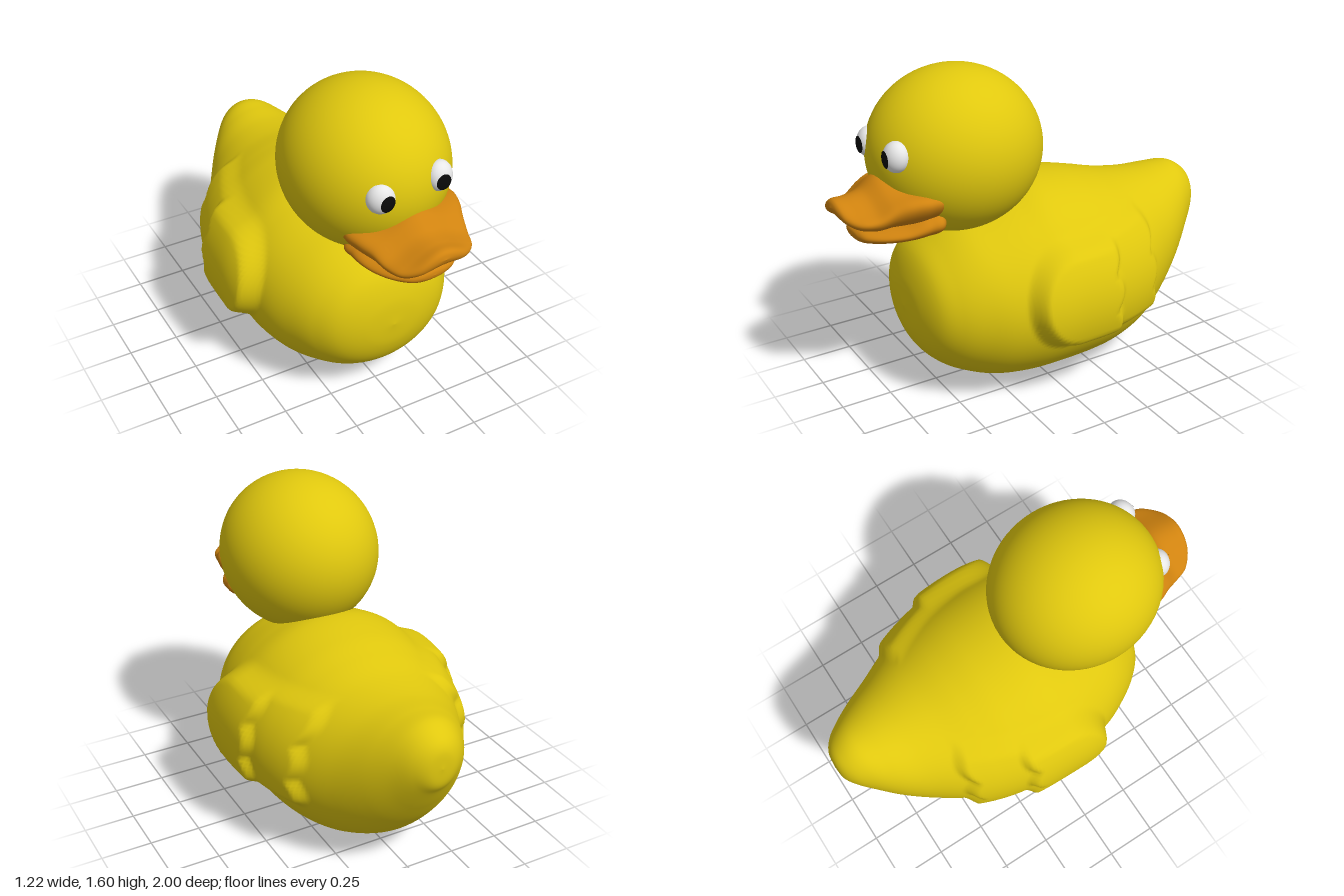
import * as THREE from 'three';

const mat = (name, color) => {
  const m = new THREE.MeshStandardMaterial({ color });
  m.name = name;
  return m;
};

// Smooth skin through elliptical rows [z, yBottom, yTop, halfWidth], z increasing; warp adjusts each point.
function loft(rows, nRows, nCols, warp = () => {}) {
  const heights = new THREE.CatmullRomCurve3(rows.map(r => new THREE.Vector3(r[0], r[1], r[2])), false, 'catmullrom');
  const widths = new THREE.CatmullRomCurve3(rows.map(r => new THREE.Vector3(r[0], r[3], 0)), false, 'catmullrom');
  const pos = [], idx = [], p = new THREE.Vector3();
  for (let i = 0; i <= nRows; i++) {
    const h = heights.getPoint(i / nRows), w = Math.max(0, widths.getPoint(i / nRows).y);
    for (let j = 0; j < nCols; j++) {
      const a = j / nCols * Math.PI * 2;
      p.set(w * Math.cos(a), (h.y + h.z) / 2 + (h.z - h.y) / 2 * Math.sin(a), h.x);
      warp(p);
      pos.push(p.x, p.y, p.z);
      if (i === nRows) continue;
      const k = i * nCols, n = (j + 1) % nCols;
      idx.push(k + j, k + n, k + nCols + j, k + n, k + nCols + n, k + nCols + j);
    }
  }
  const g = new THREE.BufferGeometry();
  g.setAttribute('position', new THREE.Float32BufferAttribute(pos, 3));
  g.setIndex(idx);
  g.computeVertexNormals();
  return g;
}

// Raised wing: a thick front layer and a thinner rear layer, both with scalloped feather tips
const step = THREE.MathUtils.smoothstep;
function wingHeight(y, z) {
  const scallop = 0.035 * Math.abs(Math.sin(Math.PI * (y - 0.3) / 0.175));
  const layer = (rear, halfHeight, mid) => {
    const dy = (y - mid) / halfHeight;
    const r = z > 0 ? Math.hypot(z / 0.25, dy) : Math.abs(dy);
    return (1 - step(r, 0.8, 1.04)) * step(z, rear - scallop - 0.02, rear - scallop + 0.025);
  };
  return 0.04 * layer(-0.19, 0.25, 0.555) + 0.042 * layer(-0.47, 0.265, 0.56 - Math.min(0, z) * 0.04);
}

export function createModel() {
  const model = new THREE.Group();
  const yellow = mat('yellow', 0xe0c80e), orange = mat('orange', 0xd0830f);
  const white = mat('eyeWhite', 0xe8e8e8), black = mat('pupilBlack', 0x0a0a0a);
  const add = (parent, name, geo, material) => {
    const m = new THREE.Mesh(geo, material);
    m.name = name;
    parent.add(m);
    return m;
  };

  // Body with upturned tail and moulded wings
  const bodyRows = [
    [-1, 0.70, 0.70, 0], [-0.99, 0.61, 0.79, 0.07], [-0.95, 0.545, 0.845, 0.13], [-0.88, 0.43, 0.883, 0.19],
    [-0.78, 0.29, 0.885, 0.265], [-0.65, 0.155, 0.885, 0.345], [-0.5, 0.065, 0.905, 0.43],
    [-0.35, 0.02, 0.945, 0.485], [-0.2, 0.004, 0.98, 0.515], [0, 0, 1, 0.525], [0.15, 0.01, 0.965, 0.52],
    [0.3, 0.035, 0.915, 0.485], [0.42, 0.08, 0.87, 0.43], [0.52, 0.14, 0.80, 0.365],
    [0.6, 0.225, 0.72, 0.28], [0.645, 0.33, 0.6, 0.155], [0.66, 0.46, 0.46, 0],
  ];
  add(model, 'bodyWithWings', loft(bodyRows, 192, 160, p => {
    if (Math.abs(p.x) > 0.2) p.x += Math.sign(p.x) * wingHeight(p.y, p.z);
  }), yellow);

  // Head
  const head = add(model, 'head', new THREE.SphereGeometry(1, 64, 48), yellow);
  head.scale.set(0.388, 0.39, 0.42);
  head.position.set(-0.01, 1.21, 0.36);

  // Face, tilted slightly to one side
  const face = new THREE.Group();
  face.name = 'face';
  face.position.set(0.02, 1.05, 0);
  face.rotation.z = 0.08;
  model.add(face);

  // Beak: wavy upper bill over a shorter lower bill
  const upperRows = [
    [0.48, 0.03, 0.03, 0], [0.55, -0.05, 0.1, 0.25], [0.63, -0.07, 0.12, 0.28], [0.71, -0.07, 0.125, 0.265],
    [0.78, -0.07, 0.11, 0.235], [0.85, -0.07, 0.06, 0.212], [0.92, -0.055, 0.045, 0.185],
    [0.97, -0.035, 0.045, 0.13], [0.99, -0.015, 0.035, 0.075], [1, 0.01, 0.01, 0],
  ];
  add(face, 'upperBill', loft(upperRows, 72, 64, p => {
    p.y -= 0.02 * (1 - Math.cos(Math.PI * p.x / 0.17));
  }), orange);
  const lowerRows = [
    [0.48, -0.1, -0.1, 0], [0.55, -0.17, -0.02, 0.235], [0.63, -0.185, -0.02, 0.25], [0.72, -0.183, -0.07, 0.225],
    [0.81, -0.18, -0.09, 0.18], [0.88, -0.172, -0.1, 0.12], [0.905, -0.155, -0.115, 0.065], [0.912, -0.135, -0.135, 0],
  ];
  add(face, 'lowerBill', loft(lowerRows, 60, 64), orange);

  // Eyes: white ovals with a thin dark cap looking inward and down
  for (const s of [-1, 1]) {
    const eye = new THREE.Group();
    eye.name = s > 0 ? 'leftEye' : 'rightEye';
    eye.position.set(s * 0.147, 0.227, 0.728);
    eye.rotation.set(-0.15, s * 0.35, 0);
    eye.scale.set(0.066, 0.071, 0.055);
    face.add(eye);
    add(eye, 'eyeball', new THREE.SphereGeometry(1, 32, 24), white);
    const pupil = add(eye, 'pupil', new THREE.SphereGeometry(1.06, 32, 10, 0, Math.PI * 2, 0, 0.56), black);
    pupil.quaternion.setFromUnitVectors(new THREE.Vector3(0, 1, 0), new THREE.Vector3(-s * 0.42, -0.2, 0.9).normalize());
  }
  return model;
}
